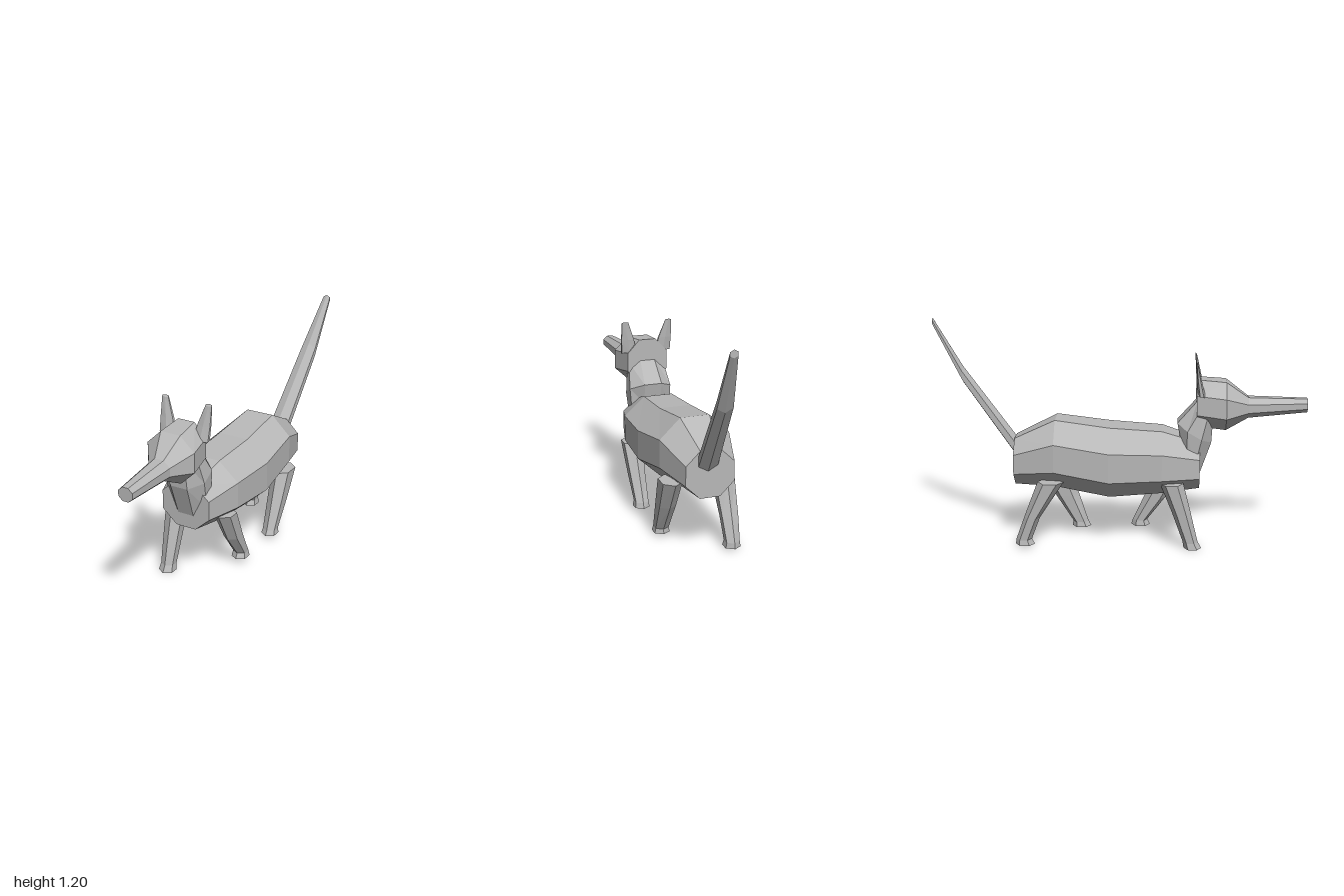
import * as THREE from 'three';

// Skins a row of rings. Each ring is [x, halfWidth, yA, zA, yB, zB], where A and B
// are its opposite ends in the side plane. Octagons have flat ends, hexagons pointed ones.
function loft(rings, sides = 8) {
  const flat = sides === 8;
  const pos = [], idx = [];
  for (const [x, w, yA, zA, yB, zB] of rings) {
    for (let i = 0; i < sides; i++) {
      const a = ((i + (flat ? 0.5 : 0)) / sides) * Math.PI * 2;
      const u = Math.sin(a) / Math.cos(Math.PI / sides);
      const v = flat ? Math.cos(a) / Math.cos(Math.PI / sides) : Math.cos(a);
      pos.push(x + u * w, (yA + yB) / 2 + (v * (yB - yA)) / 2, (zA + zB) / 2 + (v * (zB - zA)) / 2);
    }
  }
  for (let r = 0; r < rings.length - 1; r++) {
    for (let i = 0; i < sides; i++) {
      const a = r * sides + i, b = r * sides + ((i + 1) % sides);
      idx.push(a, b, b + sides, a, b + sides, a + sides);
    }
  }
  // End caps
  const last = (rings.length - 1) * sides;
  for (let i = 1; i < sides - 1; i++) {
    idx.push(0, i + 1, i, last, last + i, last + i + 1);
  }
  // Turn all faces outward
  const p = (i) => new THREE.Vector3().fromArray(pos, i * 3);
  const mid = p(0).add(p(last)).multiplyScalar(0.5);
  let volume = 0;
  for (let i = 0; i < idx.length; i += 3) {
    const [a, b, c] = [0, 1, 2].map((k) => p(idx[i + k]).sub(mid));
    volume += a.dot(b.cross(c));
  }
  if (volume < 0) idx.reverse();
  const g = new THREE.BufferGeometry();
  g.setAttribute('position', new THREE.Float32BufferAttribute(pos, 3));
  g.setIndex(idx);
  const out = g.toNonIndexed();
  out.computeVertexNormals();
  return out;
}

export function createModel() {
  const model = new THREE.Group();
  model.name = 'longSnoutedAnimal';
  const grey = new THREE.MeshStandardMaterial({ color: 0xb8b8b8, flatShading: true });
  grey.name = 'grey';

  const add = (name, rings, sides) => {
    const mesh = new THREE.Mesh(loft(rings, sides), grey);
    mesh.name = name;
    model.add(mesh);
  };

  // Torso, chest to rump
  add('body', [
    [0, 0.14, 0.31, 0.43, 0.56, 0.43],
    [0, 0.195, 0.285, 0.23, 0.625, 0.23],
    [0, 0.21, 0.262, -0.05, 0.643, -0.05],
    [0, 0.19, 0.315, -0.34, 0.68, -0.34],
    [0, 0.13, 0.32, -0.56, 0.572, -0.56],
  ]);

  // Neck, leaning forward out of the chest
  add('neck', [
    [0, 0.11, 0.385, 0.43, 0.55, 0.33],
    [0, 0.12, 0.56, 0.49, 0.665, 0.31],
    [0, 0.1, 0.72, 0.5, 0.785, 0.415],
  ]);

  // Head and long snout
  add('head', [
    [0.0, 0.115, 0.65, 0.41, 0.9, 0.41],
    [0.008, 0.137, 0.63, 0.565, 0.887, 0.565],
    [0.02, 0.062, 0.688, 0.685, 0.797, 0.685],
    [0.045, 0.04, 0.713, 1, 0.785, 1],
  ]);

  // Ears
  for (const [name, s] of [['leftEar', 1], ['rightEar', -1]]) {
    const x = s < 0 ? 0.008 : 0;
    add(name, [
      [s * 0.103 + x, 0.043, 0.82, 0.455, 0.83, 0.415],
      [s * 0.113 + x, 0.036, 0.9, 0.435, 0.905, 0.408],
      [s * 0.131 + x, 0.018, 1.0, 0.412, 1.01, 0.403],
    ], 6);
  }

  // Tail, rising to the rear
  add('tail', [
    [0.01, 0.052, 0.455, -0.555, 0.57, -0.555],
    [0.042, 0.042, 0.855, -0.84, 0.945, -0.84],
    [0.07, 0.02, 1.16, -1, 1.2, -1],
  ], 6);

  // Legs: side x, then rows of [halfWidth, y, front z, back z]
  const legs = {
    leftFrontLeg: [0.143, [
      [0.052, 0.36, 0.34, 0.21], [0.042, 0.19, 0.25, 0.13],
      [0.036, 0.06, 0.15, 0.07], [0.041, 0.03, 0.165, 0.06],
    ]],
    rightFrontLeg: [-0.143, [
      [0.055, 0.36, 0.345, 0.22], [0.045, 0.2, 0.385, 0.285],
      [0.036, 0.035, 0.425, 0.345], [0.041, 0, 0.445, 0.35],
    ]],
    leftBackLeg: [0.143, [
      [0.052, 0.36, -0.28, -0.455], [0.045, 0.2, -0.23, -0.365],
      [0.036, 0.045, -0.18, -0.265], [0.041, 0.018, -0.165, -0.27],
    ]],
    rightBackLeg: [-0.145, [
      [0.055, 0.36, -0.29, -0.43], [0.044, 0.16, -0.42, -0.505],
      [0.036, 0.04, -0.465, -0.548], [0.041, 0.01, -0.45, -0.553],
    ]],
  };
  for (const [name, [x, rows]] of Object.entries(legs)) {
    add(name, rows.map(([w, y, front, back]) => [x, w, y, front, y, back]), 6);
  }

  return model;
}
